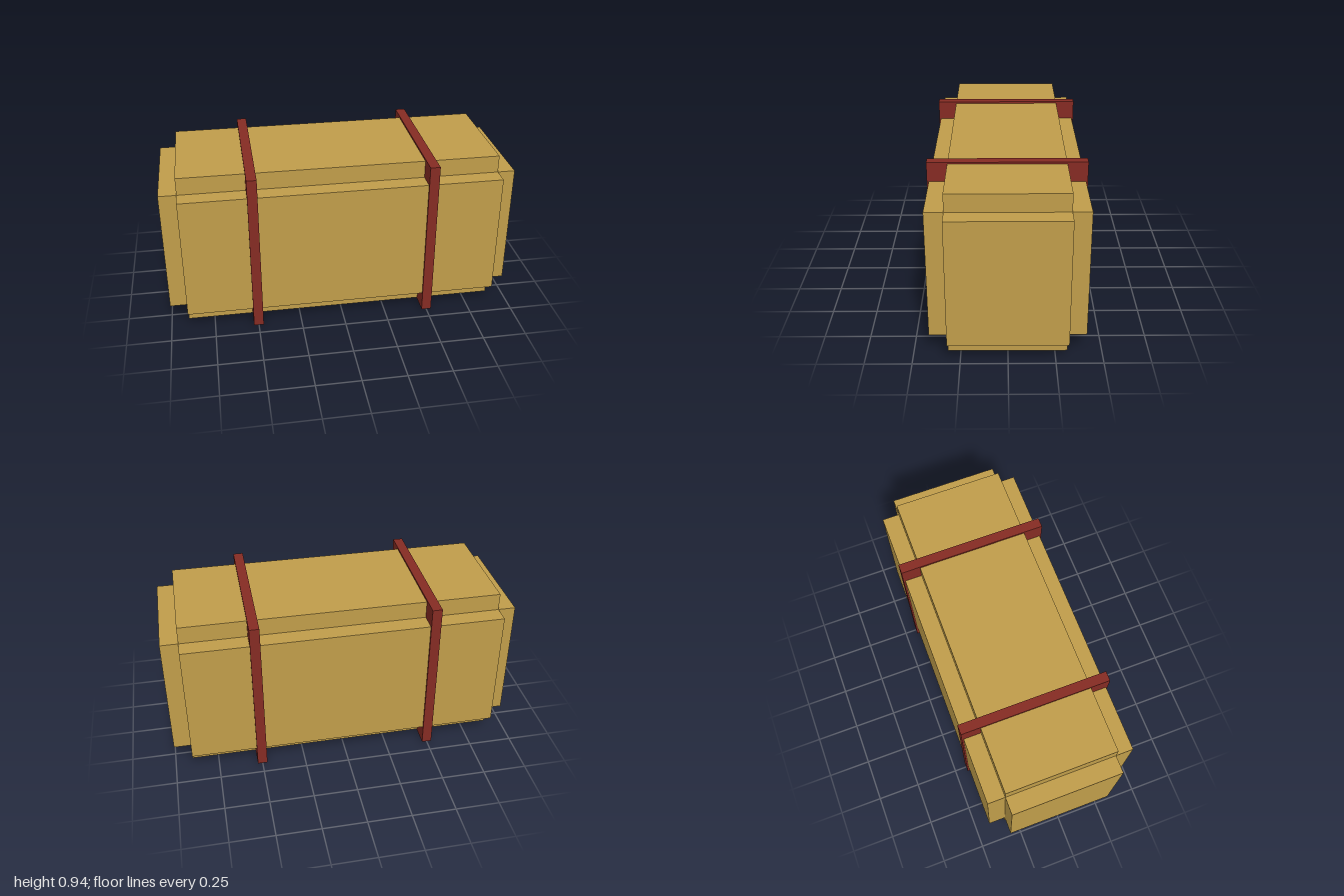
import * as THREE from 'three';

export function createModel() {
  const group = new THREE.Group();
  const cardboard = new THREE.MeshStandardMaterial({ color: 0xc09d4a });
  cardboard.name = 'tan';
  const strapRed = new THREE.MeshStandardMaterial({ color: 0x852b23 });
  strapRed.name = 'dark red';
  const midY = 0.469;

  function box(name, material, w, h, d, x = 0) {
    const mesh = new THREE.Mesh(new THREE.BoxGeometry(w, h, d), material);
    mesh.name = name;
    mesh.position.set(x, midY, 0);
    group.add(mesh);
  }

  // Crate body: three crossing blocks, each raised along one axis
  box('endPanels', cardboard, 2, 0.717, 0.634);
  box('topAndBottomPanels', cardboard, 1.8, 0.917, 0.634);
  box('frontAndBackPanels', cardboard, 1.8, 0.717, 0.834);

  // Straps around the crate, filling its recessed corners
  for (const side of [-1, 1]) {
    box(side > 0 ? 'leftStrap' : 'rightStrap', strapRed, 0.056, 0.938, 0.854, side * 0.5);
  }
  return group;
}
